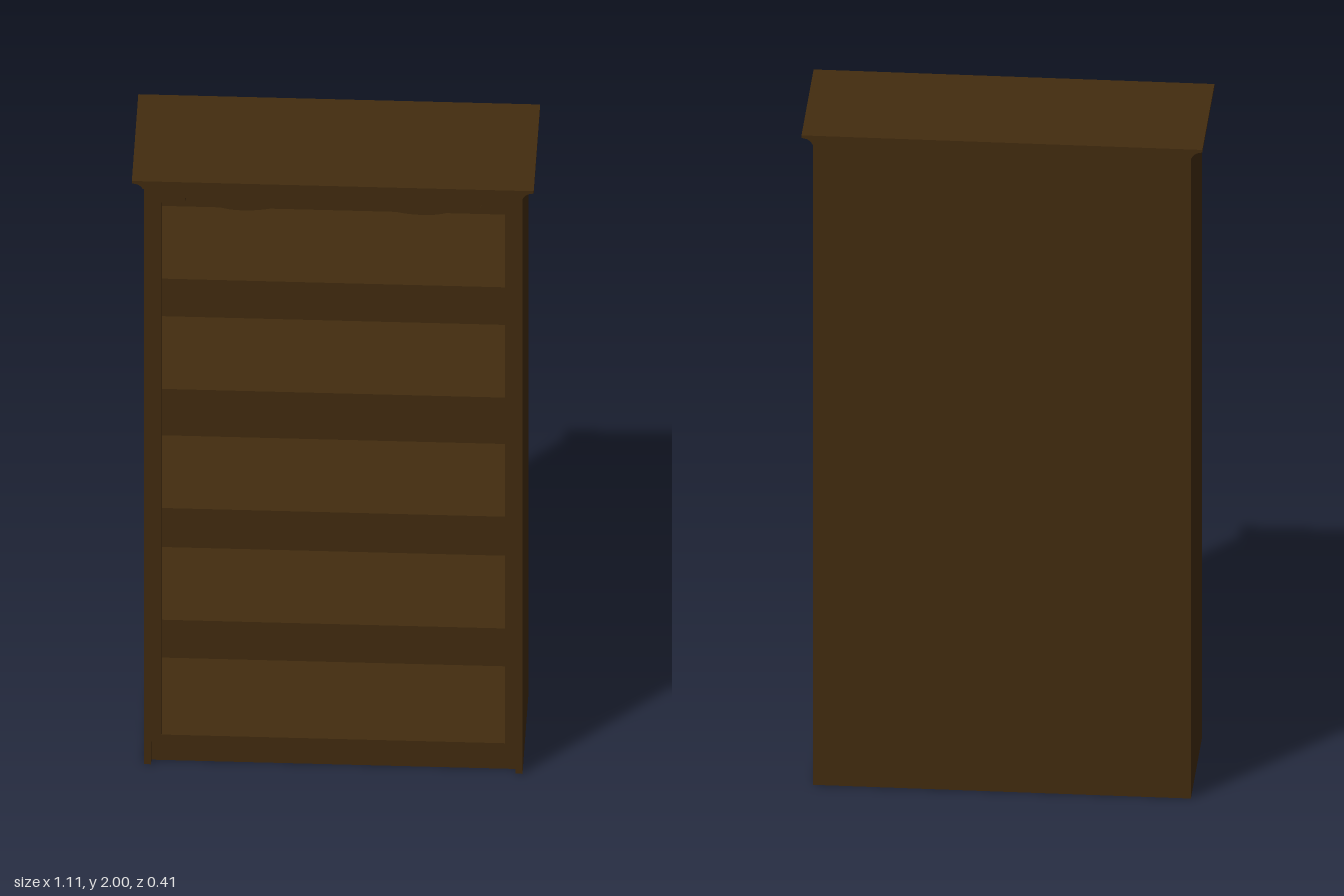
import * as THREE from 'three';

export function createModel() {
  const group = new THREE.Group();
  group.name = 'bookcase';
  const wood = new THREE.MeshStandardMaterial({ color: 0x432c0f });
  wood.name = 'dark wood';

  const add = (name, geometry) => {
    const mesh = new THREE.Mesh(geometry, wood);
    mesh.name = name;
    group.add(mesh);
    return mesh;
  };
  // box given by its limits on each axis
  const box = (name, x0, x1, y0, y1, z0, z1) => {
    const mesh = add(name, new THREE.BoxGeometry(x1 - x0, y1 - y0, z1 - z0));
    mesh.position.set((x0 + x1) / 2, (y0 + y1) / 2, (z0 + z1) / 2);
    return mesh;
  };
  // front-facing outline extruded from z0 to z1
  const slab = (name, shape, z0, z1) => {
    const geometry = new THREE.ExtrudeGeometry(shape, { depth: z1 - z0, bevelEnabled: false, curveSegments: 10 });
    geometry.translate(0, 0, z0);
    return add(name, geometry);
  };

  const back = -0.205, front = 0.18;

  // carcass
  for (const [side, s] of [['left', 1], ['right', -1]]) {
    const span = (a, b) => [Math.min(a * s, b * s), Math.max(a * s, b * s)];
    box(side + 'SidePanel', ...span(0.503, 0.523), 0, 1.975, back, front);
    box(side + 'Stile', ...span(0.474, 0.503), 0.095, 1.95, 0.15, 0.17);
  }
  box('backPanel', -0.503, 0.503, 0, 1.975, back, -0.193);

  // base
  box('bottomShelf', -0.503, 0.503, 0.07, 0.095, -0.193, 0.17);
  box('kickBoard', -0.503, 0.503, 0, 0.07, 0.14, 0.158);

  // shelves
  for (const y of [0.455, 0.835, 1.24, 1.615])
    box('shelf', -0.503, 0.503, y, y + 0.016, -0.193, 0.15);

  // scalloped valance under the top
  const valance = new THREE.Shape();
  valance.moveTo(-0.503, 1.975);
  valance.lineTo(-0.503, 1.905);
  valance.quadraticCurveTo(-0.46, 1.915, -0.425, 1.903);
  valance.quadraticCurveTo(-0.4, 1.908, -0.41, 1.928);
  valance.bezierCurveTo(-0.34, 1.915, -0.32, 1.89, -0.25, 1.89);
  valance.bezierCurveTo(-0.16, 1.89, -0.13, 1.92, -0.06, 1.92);
  valance.quadraticCurveTo(-0.02, 1.92, 0, 1.9);
  valance.quadraticCurveTo(0.02, 1.92, 0.06, 1.92);
  valance.bezierCurveTo(0.13, 1.92, 0.16, 1.89, 0.25, 1.89);
  valance.bezierCurveTo(0.32, 1.89, 0.34, 1.915, 0.41, 1.928);
  valance.quadraticCurveTo(0.4, 1.908, 0.425, 1.903);
  valance.quadraticCurveTo(0.46, 1.915, 0.503, 1.905);
  valance.lineTo(0.503, 1.975);
  slab('valance', valance, 0.16, 0.178);

  // cornice with coved ends
  const cornice = new THREE.Shape();
  cornice.moveTo(-0.525, 1.973);
  cornice.lineTo(0.525, 1.973);
  cornice.quadraticCurveTo(0.531, 1.987, 0.545, 1.99);
  cornice.lineTo(0.555, 1.992);
  cornice.lineTo(0.555, 2);
  cornice.lineTo(-0.555, 2);
  cornice.lineTo(-0.555, 1.992);
  cornice.lineTo(-0.545, 1.99);
  cornice.quadraticCurveTo(-0.531, 1.987, -0.525, 1.973);
  slab('cornice', cornice, back, 0.205);

  return group;
}
